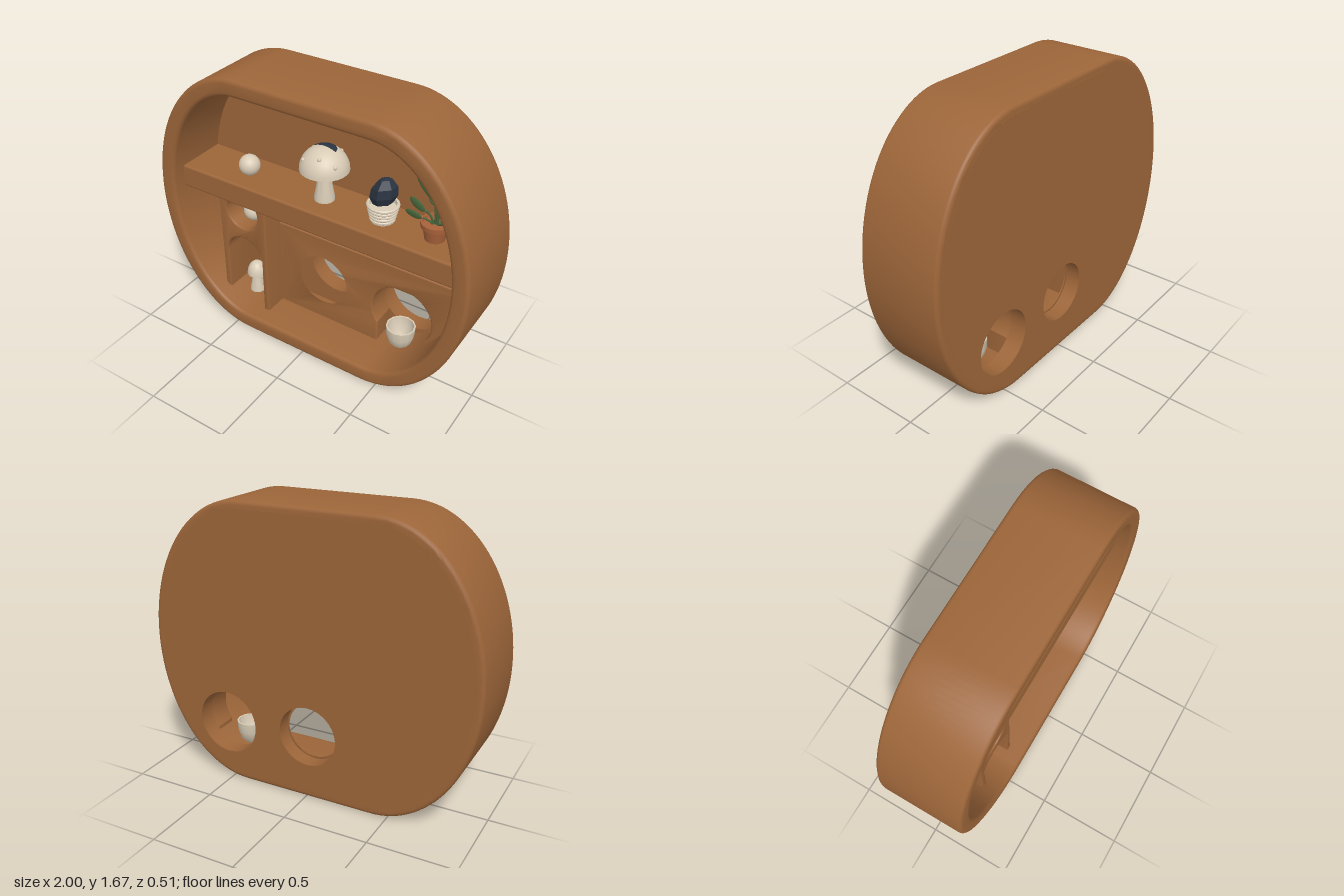
import * as THREE from 'three';
import { toCreasedNormals } from 'three/addons/utils/BufferGeometryUtils.js';
import { RoundedBoxGeometry } from 'three/addons/geometries/RoundedBoxGeometry.js';

const mat = (name, color, side = THREE.FrontSide) => {
  const m = new THREE.MeshStandardMaterial({ color, side });
  m.name = name;
  return m;
};
const V = (x, y, z) => new THREE.Vector3(x, y, z);

// Flat top and bottom joined by half-ellipse sides; t is the inset from the outer edge
function oval(Type, t) {
  const s = new Type();
  const rx = 0.6 - t, ry = 0.836 - t;
  s.moveTo(-0.4, 0.836 - ry);
  s.lineTo(0.4, 0.836 - ry);
  s.absellipse(0.4, 0.836, rx, ry, -Math.PI / 2, Math.PI / 2, false);
  s.lineTo(-0.4, 0.836 + ry);
  s.absellipse(-0.4, 0.836, rx, ry, Math.PI / 2, Math.PI * 1.5, false);
  return s;
}

function circle(x, y, r) {
  return new THREE.Path().absarc(x, y, r, 0, Math.PI * 2, true);
}

// Extrude between two depths, with the bevel kept inside the outline
function slab(shape, z0, z1, bevel = 0) {
  const g = new THREE.ExtrudeGeometry(shape, {
    depth: z1 - z0 - 2 * bevel, curveSegments: 28, bevelEnabled: bevel > 0,
    bevelSize: bevel, bevelThickness: bevel, bevelOffset: -bevel, bevelSegments: 3,
  });
  g.translate(0, 0, z0 + bevel);
  return toCreasedNormals(g, 0.6);
}

function lathe(points, segments = 28) {
  const g = new THREE.LatheGeometry(points.map(([r, y]) => new THREE.Vector2(r, y)), segments);
  return toCreasedNormals(g, 0.7);
}

export function createModel() {
  const model = new THREE.Group();
  model.name = 'ovalDisplayShelf';
  const wood = mat('wood', 0x9c6539);
  const cream = mat('cream', 0xd9ccb6, THREE.DoubleSide);
  const dark = mat('darkSlate', 0x2b3543, THREE.DoubleSide);
  const clay = mat('terracotta', 0xa8623a, THREE.DoubleSide);
  const green = mat('leafGreen', 0x48663a);

  const add = (name, geo, material, x = 0, y = 0, z = 0, parent = model) => {
    const m = new THREE.Mesh(geo, material);
    m.name = name;
    m.position.set(x, y, z);
    parent.add(m);
    return m;
  };

  // Outer frame
  const ring = oval(THREE.Shape, 0);
  ring.holes.push(oval(THREE.Path, 0.1));
  add('frame', slab(ring, -0.255, 0.25, 0.022), wood);

  // Back panel with two round holes
  const back = oval(THREE.Shape, 0.045);
  back.holes.push(circle(-0.01, 0.385, 0.177), circle(0.52, 0.355, 0.19));
  add('backPanel', slab(back, -0.256, -0.15), wood);

  // Main shelf
  add('shelf', new RoundedBoxGeometry(1.86, 0.145, 0.32, 3, 0.014), wood, 0, 0.9, 0);

  // Thick lower block: one round tunnel and one alcove open to the floor
  const block = new THREE.Shape();
  block.moveTo(-0.34, 0.09);
  block.lineTo(-0.34, 0.69);
  block.lineTo(0.94, 0.69);
  block.absellipse(0.4, 0.836, 0.55, 0.78, -0.187, -1.058, true);
  block.absarc(0.52, 0.355, 0.19, -0.654, 1.246, false);
  block.absarc(0.52, 0.355, 0.19, Math.PI - 1.246, Math.PI + 0.654, false);
  block.lineTo(0.37, 0.09);
  block.holes.push(circle(-0.01, 0.385, 0.177));
  add('lowerBlock', slab(block, -0.165, 0.0, 0.012), wood);

  // Tall niche unit: round hole above, arch below
  const niche = new THREE.Shape();
  niche.moveTo(-0.65, 0.13);
  niche.lineTo(-0.61, 0.11);
  niche.absarc(-0.4825, 0.4625, 0.1275, Math.PI, 0, true);
  niche.lineTo(-0.355, 0.1);
  niche.lineTo(-0.318, 0.1);
  niche.lineTo(-0.318, 0.85);
  niche.lineTo(-0.65, 0.85);
  niche.holes.push(circle(-0.485, 0.77, 0.11));
  add('nicheUnit', slab(niche, -0.165, 0.145, 0.01), wood);

  // Two ornament balls
  for (const [x, y] of [[-0.505, 1.034], [-0.49, 0.725]])
    add('ball', new THREE.SphereGeometry(0.063, 24, 16), cream, x, y, 0.02);

  // Mushrooms: stem and domed cap
  function mushroom(name, x, y, z, r, h, stemR) {
    const g = new THREE.Group();
    g.name = name;
    g.position.set(x, y, z);
    model.add(g);
    const capY = h * 0.56, capH = h - capY;
    add('stem', lathe([[0, 0], [stemR, 0], [stemR, h * 0.06], [stemR * 0.75, h * 0.3], [stemR * 0.6, capY + 0.02]]), cream, 0, 0, 0, g);
    const dome = [[0, capY + 0.015], [r * 0.75, capY], [r * 0.97, capY + 0.008]];
    for (let i = 0; i <= 10; i++) {
      const a = (i / 10) * Math.PI / 2;
      dome.push([r * Math.cos(a), capY + 0.03 * h + capH * 0.93 * Math.sin(a)]);
    }
    add('cap', lathe(dome), cream, 0, 0, 0, g);
    return { g, capY: capY + 0.03 * h, capH: capH * 0.93 };
  }
  mushroom('smallMushroom', -0.49, 0.13, 0.03, 0.06, 0.215, 0.047);
  const big = mushroom('largeMushroom', 0, 0.97, 0, 0.14, 0.332, 0.058);

  // Dark patch behind the crown and raised spots on the large cap
  const patch = new THREE.SphereGeometry(1, 16, 6, Math.PI, Math.PI, 0, 0.5);
  patch.scale(0.143, big.capH + 0.003, 0.143);
  add('capPatch', patch, dark, 0, big.capY, 0, big.g);
  for (const [a, e] of [[0.5, 0.5], [1.3, 0.85], [2.3, 0.55], [3.6, 0.6], [5, 0.5]])
    add('capSpot', new THREE.SphereGeometry(0.012, 10, 8), cream,
      0.138 * Math.cos(e) * Math.cos(a), big.capY + big.capH * Math.sin(e), 0.138 * Math.cos(e) * Math.sin(a), big.g);

  // Ribbed pot holding a faceted dark stone
  const ribs = [[0, 0], [0.066, 0]];
  for (let i = 0; i < 5; i++) {
    const y = 0.004 + i * 0.021, r = 0.066 + i * 0.0045;
    ribs.push([r, y], [r + 0.006, y + 0.006], [r + 0.006, y + 0.014], [r, y + 0.02]);
  }
  ribs.push([0.074, 0.108], [0.07, 0.085], [0, 0.085]);
  add('ribbedPot', lathe(ribs), cream, 0.37, 0.972, 0);
  const stone = new THREE.LatheGeometry([[0.055, 0], [0.076, 0.045], [0.07, 0.1], [0.036, 0.15], [0, 0.165]]
    .map(([r, y]) => new THREE.Vector2(r, y)), 6).toNonIndexed();
  const p = stone.attributes.position;
  for (let i = 0; i < p.count; i++) {
    const x = p.getX(i), y = p.getY(i), z = p.getZ(i);
    p.setXYZ(i, x + y * 0.06, y + x * 0.25 + z * 0.15, z);
  }
  stone.computeVertexNormals();
  add('stone', stone, dark, 0.368, 1.075, 0);

  // Fluted bowl in the alcove
  const bowl = lathe([[0, 0], [0.04, 0], [0.068, 0.03], [0.083, 0.08], [0.087, 0.14],
    [0.078, 0.14], [0.072, 0.08], [0.05, 0.035], [0, 0.025]], 12);
  add('bowl', bowl, cream, 0.515, 0.13, -0.02);

  // Potted plant
  const plant = new THREE.Group();
  plant.name = 'pottedPlant';
  plant.position.set(0.68, 0.972, 0);
  model.add(plant);
  add('plantPot', lathe([[0, 0], [0.054, 0], [0.068, 0.075], [0.079, 0.078], [0.081, 0.105],
    [0.07, 0.105], [0.068, 0.09], [0, 0.09]]), clay, 0, 0, 0, plant);
  // Leaf base, leaf tip, half width
  const leaves = [
    [V(-0.05, 0.17, 0.03), V(-0.14, 0.22, 0.04), 0.026],
    [V(-0.06, 0.13, 0.04), V(-0.15, 0.15, 0.06), 0.024],
    [V(-0.02, 0.23, 0), V(-0.12, 0.34, 0.02), 0.018],
    [V(-0.005, 0.24, 0), V(0.005, 0.37, -0.03), 0.026],
    [V(0.02, 0.24, 0.01), V(0.095, 0.35, 0.03), 0.032],
    [V(0.03, 0.22, -0.02), V(0.09, 0.28, -0.07), 0.028],
    [V(0.06, 0.12, 0.02), V(0.16, 0.195, 0.02), 0.017],
    [V(0.04, 0.12, -0.04), V(0.12, 0.15, -0.09), 0.022],
    [V(-0.03, 0.17, -0.04), V(-0.09, 0.23, -0.09), 0.024],
  ];
  for (const [base, tip, w] of leaves) {
    const dir = tip.clone().sub(base);
    const curve = new THREE.QuadraticBezierCurve3(V(base.x * 0.2, 0.085, base.z * 0.2), V(base.x * 0.4, base.y * 0.85, base.z * 0.4), base);
    add('stem', new THREE.TubeGeometry(curve, 8, 0.006, 6), green, 0, 0, 0, plant);
    const mid = base.clone().add(tip).multiplyScalar(0.5);
    const leaf = add('leaf', new THREE.SphereGeometry(1, 10, 8), green, mid.x, mid.y, mid.z, plant);
    leaf.scale.set(w, dir.length() / 2, 0.007);
    leaf.quaternion.setFromUnitVectors(V(0, 1, 0), dir.normalize());
    leaf.rotateX(-0.15);
  }
  return model;
}
